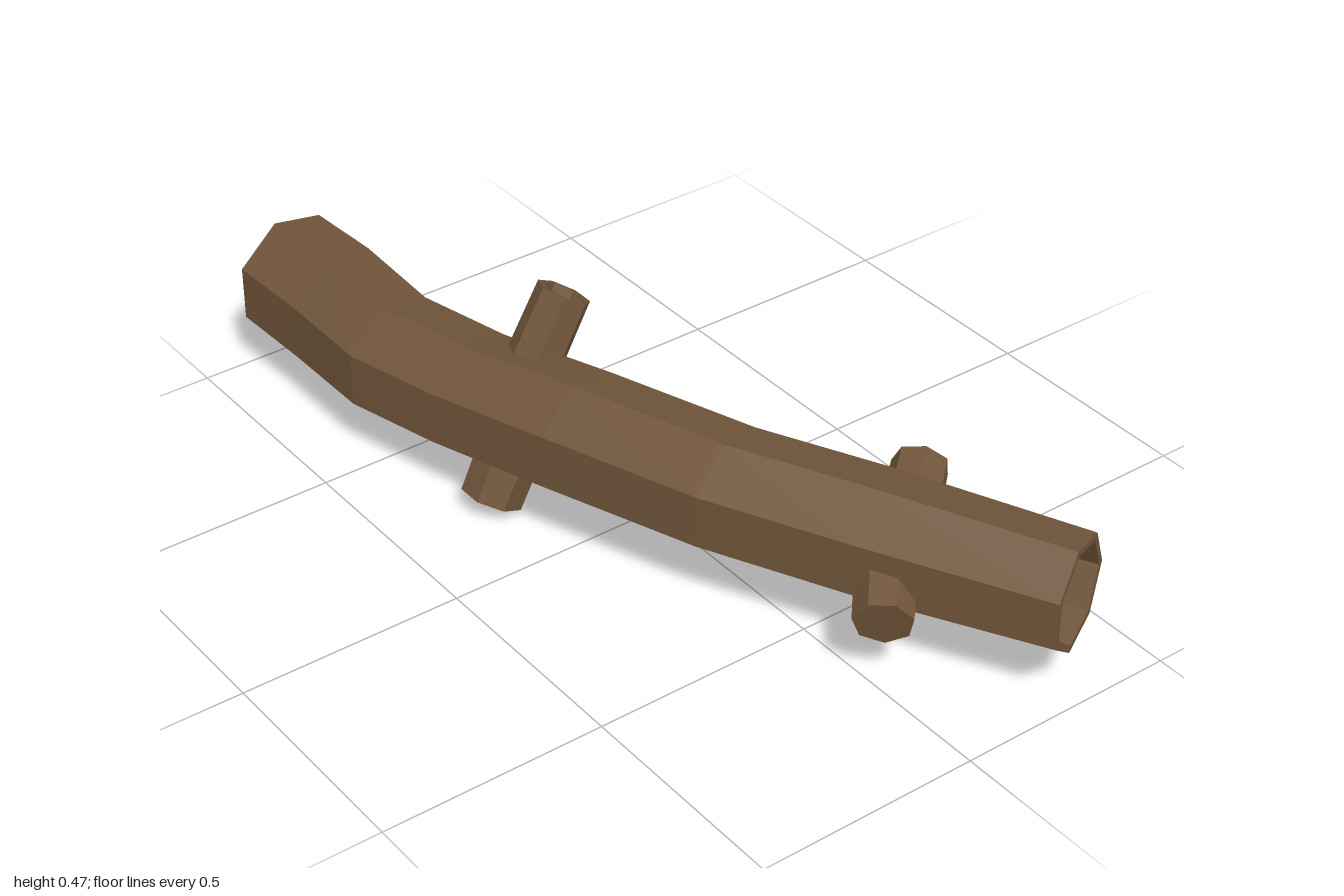
import * as THREE from 'three';

const SIDES = 7;
const bark = new THREE.MeshStandardMaterial({ color: 0x70553a, flatShading: true });
const wood = new THREE.MeshStandardMaterial({ color: 0xb08860, flatShading: true });

// Trunk cross-sections: back edge x, z; front edge x, z; centre height; radius
const stations = [
  [-1.0, 0.135, -0.97, 0.405, 0.21, 0.143],
  [-0.82, 0.12, -0.77, 0.397, 0.207, 0.146],
  [-0.58, 0.13, -0.54, 0.397, 0.207, 0.141],
  [-0.35, 0.08, -0.31, 0.35, 0.215, 0.139],
  [-0.07, 0.005, -0.02, 0.27, 0.235, 0.141],
  [0.25, -0.1, 0.33, 0.14, 0.236, 0.138],
  [0.51, -0.235, 0.63, -0.01, 0.231, 0.138],
  [0.9, -0.41, 1.0, -0.205, 0.233, 0.125],
];

// Seven-sided ring with a corner at the back and a flat at the front
function ring([bx, bz, fx, fz, y, r], scale = 1, shift = 0) {
  const centre = new THREE.Vector3(bx + 0.526 * (fx - bx), y, bz + 0.526 * (fz - bz));
  const back = new THREE.Vector3(bx - fx, 0, bz - fz).normalize();
  const along = new THREE.Vector3(-back.z, 0, back.x);
  centre.addScaledVector(along, shift);
  return Array.from({ length: SIDES }, (_, j) => {
    const a = (j / SIDES) * Math.PI * 2;
    return centre.clone()
      .addScaledVector(back, Math.cos(a) * r * scale)
      .add(new THREE.Vector3(0, Math.sin(a) * r * scale, 0));
  });
}

function fromTriangles(points) {
  const geometry = new THREE.BufferGeometry().setFromPoints(points);
  geometry.computeVertexNormals();
  return geometry;
}

function loft(rings) {
  const tris = [];
  for (let i = 0; i + 1 < rings.length; i++) {
    for (let j = 0; j < SIDES; j++) {
      const k = (j + 1) % SIDES;
      const [a, b, c, d] = [rings[i][j], rings[i][k], rings[i + 1][k], rings[i + 1][j]];
      tris.push(a, b, c, a, c, d);
    }
  }
  return fromTriangles(tris);
}

function disc(points) {
  const tris = [];
  for (let j = 1; j + 1 < SIDES; j++) tris.push(points[0], points[j], points[j + 1]);
  return fromTriangles(tris);
}

function addMesh(group, name, geometry, material) {
  const mesh = new THREE.Mesh(geometry, material);
  mesh.name = name;
  group.add(mesh);
  return mesh;
}

// Cut branch: tip centre, outward direction, length and radius
function addStub(group, name, tip, direction, length, r, hollow) {
  const dir = new THREE.Vector3(...direction).normalize();
  const end = hollow
    ? [[r - 0.012, length], [r - 0.016, 0]]
    : [[0, length]];
  const profile = [[r * 1.05, 0], [r, length], ...end].map((p) => new THREE.Vector2(...p));
  const mesh = addMesh(group, name, new THREE.LatheGeometry(profile, SIDES), bark);
  mesh.quaternion.setFromUnitVectors(new THREE.Vector3(0, 1, 0), dir);
  mesh.position.set(...tip).addScaledVector(dir, -length);
}

export function createModel() {
  const group = new THREE.Group();
  group.name = 'log';

  // Bark shell, turned in over a thin rim at both ends
  const first = stations[0];
  const last = stations[stations.length - 1];
  const leftFloor = ring(first, 0.85, 0.12);
  const rightFloor = ring(last, 0.85, -0.12);
  addMesh(group, 'trunk', loft([
    leftFloor, ring(first, 0.87),
    ...stations.map((s) => ring(s)),
    ring(last, 0.87), rightFloor,
  ]), bark);

  // Bare wood recessed in each end
  addMesh(group, 'rightEndWood', disc([...leftFloor].reverse()), wood);
  addMesh(group, 'leftEndWood', disc(rightFloor), wood);

  // Branch stubs
  addStub(group, 'upperBranch', [-0.24, 0.449, 0.052], [0, 0.865, -0.5], 0.2, 0.06, true);
  addStub(group, 'lowerBranch', [-0.21, 0.037, 0.27], [0, -0.89, 0.45], 0.16, 0.068, true);
  addStub(group, 'backBranch', [0.49, 0.28, -0.3], [-0.6, 0.3, -0.72], 0.14, 0.06, true);
  addStub(group, 'frontBranch', [0.735, 0.17, 0], [0.7, -0.25, 0.65], 0.16, 0.062, false);
  return group;
}
